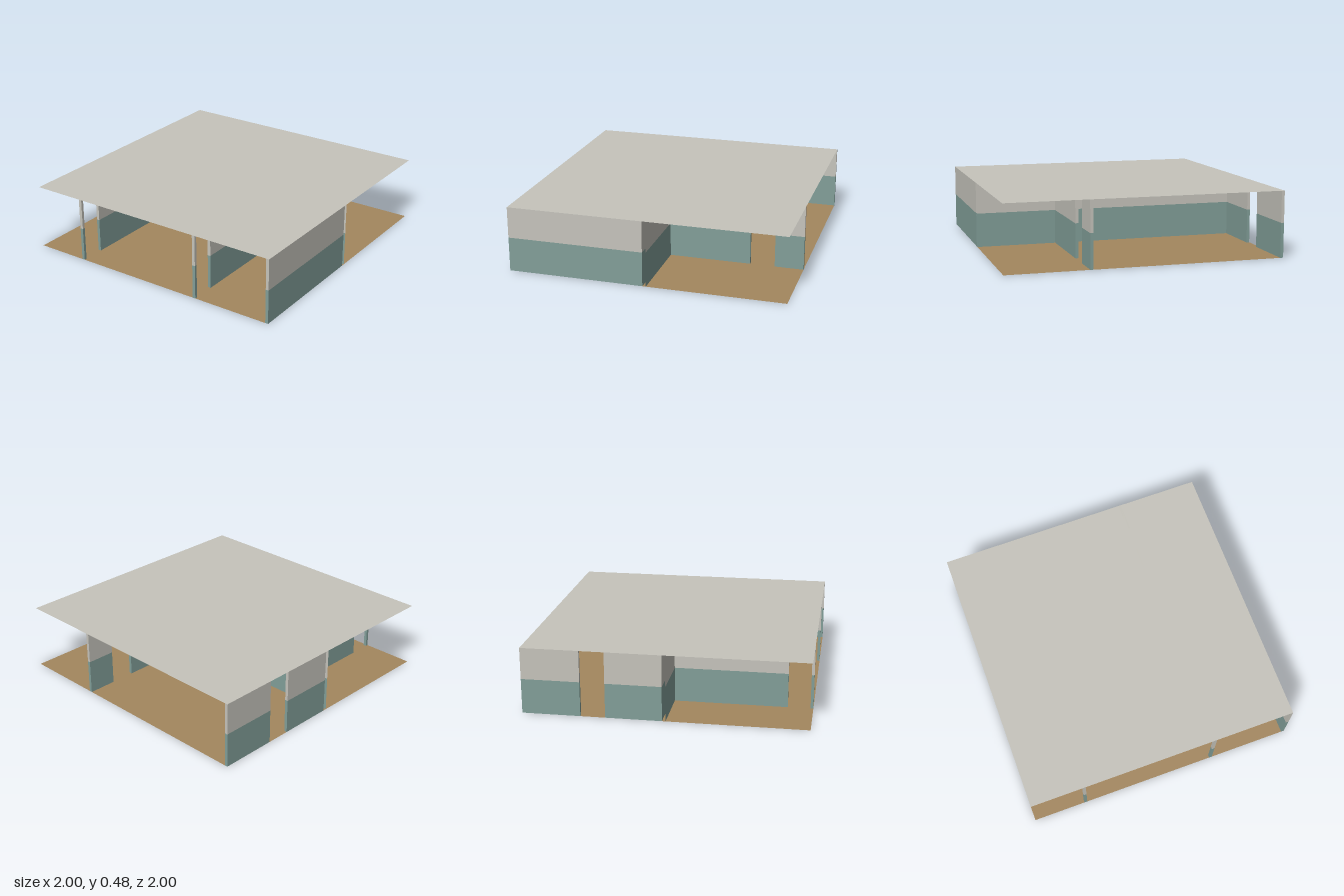
import * as THREE from 'three';

const SPLIT = 0.25, TOP = 0.477, T = 0.022, HALF = 0.0125;

export function createModel() {
  const model = new THREE.Group();
  model.name = 'pavilion';

  const mat = (name, color) => {
    const m = new THREE.MeshStandardMaterial({ color, side: THREE.DoubleSide });
    m.name = name;
    return m;
  };
  const plaster = mat('pale plaster', 0xc6c4bc);
  const teal = mat('teal dado', 0x829f99);
  const wood = mat('tan floor', 0xa4875e);

  const add = (parent, name, geometry, material, x, y, z) => {
    const mesh = new THREE.Mesh(geometry, material);
    mesh.name = name;
    mesh.position.set(x, y, z);
    parent.add(mesh);
  };

  // Every wall is painted teal below and left pale above
  const bands = [['lowerWall', 0, SPLIT, teal], ['upperWall', SPLIT, TOP, plaster]];

  // Floor and flat roof sheets
  const sheet = new THREE.PlaneGeometry(2, 2).rotateX(-Math.PI / 2);
  add(model, 'floor', sheet, wood, 0, 0, 0);
  add(model, 'roof', sheet, plaster, 0, TOP, 0);

  // Hollow cross wall, open at both ends
  const cross = new THREE.Group();
  cross.name = 'crossWall';
  for (const [name, y0, y1, m] of bands) {
    for (const side of [1, -1]) {
      const face = new THREE.PlaneGeometry(2, y1 - y0);
      if (side < 0) face.rotateY(Math.PI);
      add(cross, name, face, m, 0, (y0 + y1) / 2, side * HALF);
    }
  }
  model.add(cross);

  // Partition walls: name, centre x, then z ranges between the doorways
  const partitions = [
    ['leftOuterWall', 1 - T / 2, [[HALF, 1]]],
    ['leftFrontPartition', 0.398, [[HALF, 0.82], [0.98, 1]]],
    ['rightFrontPartition', -0.602, [[HALF, 0.82], [0.98, 1]]],
    ['leftBackPartition', 0.398, [[-1, -0.79], [-0.61, -HALF]]],
    ['rightOuterWall', -1 + T / 2, [[-1, -0.585], [-0.41, -HALF]]],
  ];
  for (const [label, x, runs] of partitions) {
    const wall = new THREE.Group();
    wall.name = label;
    for (const [z0, z1] of runs) {
      for (const [name, y0, y1, m] of bands) {
        add(wall, name, new THREE.BoxGeometry(T, y1 - y0, z1 - z0), m,
          x, (y0 + y1) / 2, (z0 + z1) / 2);
      }
    }
    model.add(wall);
  }
  return model;
}
